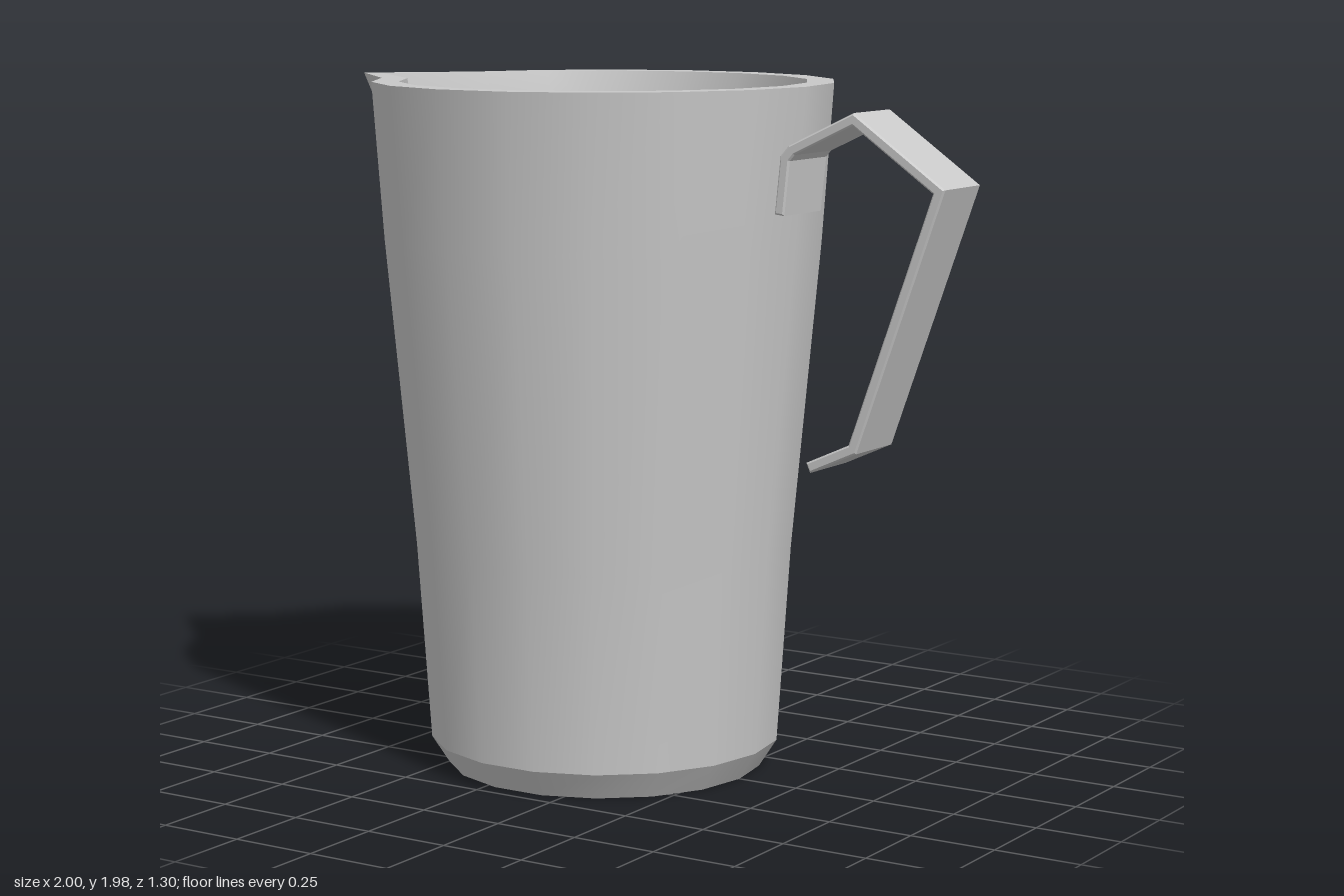
import * as THREE from 'three';
import { toCreasedNormals } from 'three/addons/utils/BufferGeometryUtils.js';

const SIDES = 18, CX = -0.143, TIP = SIDES / 2;

// One ring of the jug; the corner opposite the handle can be pulled out to form the spout
function ring({ r, y, tip }) {
  return Array.from({ length: SIDES }, (_, i) => {
    const a = (i / SIDES) * Math.PI * 2;
    const x = i === TIP && tip !== undefined ? tip : CX + r * Math.cos(a);
    return [x, y, -r * Math.sin(a)];
  });
}

// Skin consecutive rings, mirrored about the spout; rings of radius 0 close the ends
function skin(profile, crease) {
  const rings = profile.map(ring), pos = [];
  const tri = (...pts) => pts.forEach((p) => pos.push(...p));
  for (let k = 0; k < rings.length - 1; k++) {
    for (let i = 0; i < SIDES; i++) {
      const j = (i + 1) % SIDES;
      const a = rings[k][i], b = rings[k][j], c = rings[k + 1][j], d = rings[k + 1][i];
      if (profile[k].r === 0) tri(a, c, d);
      else if (profile[k + 1].r === 0) tri(a, b, c);
      else if (i < TIP) { tri(a, b, d); tri(b, c, d); }
      else { tri(a, b, c); tri(a, c, d); }
    }
  }
  const geo = new THREE.BufferGeometry();
  geo.setAttribute('position', new THREE.Float32BufferAttribute(pos, 3));
  return toCreasedNormals(geo, crease);
}

// Closed outline of a strip of even thickness along a bent path
function stripShape(points, thickness) {
  const p = points.map(([x, y]) => new THREE.Vector2(x, y));
  const normal = (a, b) => new THREE.Vector2(a.y - b.y, b.x - a.x).normalize();
  const offset = (side) => p.map((v, i) => {
    const n1 = normal(p[Math.max(i - 1, 0)], p[Math.max(i, 1)]);
    const last = p.length - 1;
    const n2 = normal(p[Math.min(i, last - 1)], p[Math.min(i + 1, last)]);
    const m = n1.clone().add(n2).normalize();
    return v.clone().addScaledVector(m, (side * thickness) / 2 / m.dot(n1));
  });
  return new THREE.Shape([...offset(1), ...offset(-1).reverse()]);
}

export function createModel() {
  const group = new THREE.Group();
  const steel = new THREE.MeshStandardMaterial({ color: 0xc8c8c8 });
  steel.name = 'steel';
  const coffee = new THREE.MeshStandardMaterial({ color: 0xa68653 });
  coffee.name = 'coffee';
  const add = (name, geo, mat) => {
    const mesh = new THREE.Mesh(geo, mat);
    mesh.name = name;
    group.add(mesh);
  };

  // Jug: base, chamfer, outer wall, rim, inner wall and floor
  add('jug', skin([
    { r: 0, y: 0 },
    { r: 0.457, y: 0 },
    { r: 0.508, y: 0.08 },
    { r: 0.546, y: 0.65 },
    { r: 0.628, y: 1.53 },
    { r: 0.66, y: 1.975, tip: -1 },
    { r: 0.583, y: 1.975, tip: -0.925 },
    { r: 0.548, y: 1.81, tip: -0.885 },
    { r: 0.53, y: 1.5 },
    { r: 0.43, y: 0.08 },
    { r: 0, y: 0.08 },
  ], 0.45), steel);

  // Liquid surface
  add('liquid', skin([
    { r: 0.548, y: 1.812, tip: -0.885 },
    { r: 0, y: 1.812 },
  ], 0.45), coffee);

  // Handle: bent flat strip, free at its lower end
  const bevel = 0.005, width = 0.21;
  const handle = new THREE.ExtrudeGeometry(stripShape([
    [0.494, 1.635], [0.51, 1.785], [0.53, 1.808], [0.72, 1.898],
    [0.981, 1.715], [0.727, 1.003], [0.594, 0.943],
  ], 0.02), {
    depth: width - 2 * bevel, bevelEnabled: true, bevelSize: bevel,
    bevelThickness: bevel, bevelSegments: 1,
  });
  handle.translate(0, 0, bevel - width / 2);
  add('handle', handle, steel);

  return group;
}
